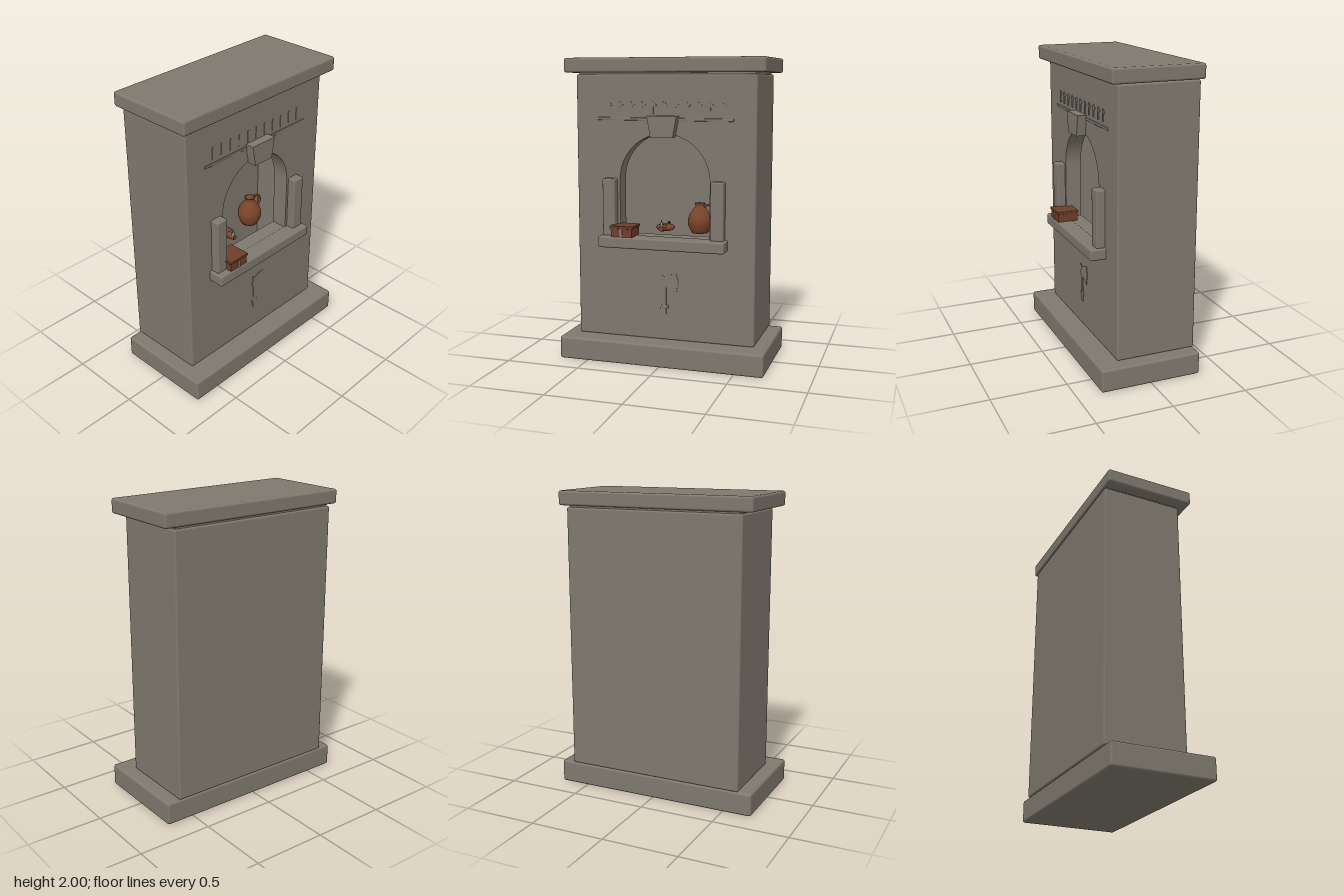
import * as THREE from 'three';
import { RoundedBoxGeometry } from 'three/addons/geometries/RoundedBoxGeometry.js';

const mat = (name, color, side = THREE.FrontSide) => {
  const m = new THREE.MeshStandardMaterial({ color, side });
  m.name = name;
  return m;
};

export function createModel() {
  const root = new THREE.Group();
  root.name = 'stoneHearthShrine';
  const stone = mat('stone', 0x7f796e);
  const clay = mat('clay', 0x7a4529, THREE.DoubleSide);
  const wood = mat('wood', 0x6f3f28);
  const metal = mat('metal', 0x8c8982);

  const add = (name, geo, material, parent = root) => {
    const m = new THREE.Mesh(geo, material);
    m.name = name;
    parent.add(m);
    return m;
  };
  // Box given by its limits, with softly rounded edges when r > 0
  const block = (name, x0, x1, y0, y1, z0, z1, r = 0.012, material = stone, parent = root) => {
    const w = x1 - x0, h = y1 - y0, d = z1 - z0;
    const g = r ? new RoundedBoxGeometry(w, h, d, 2, r) : new THREE.BoxGeometry(w, h, d);
    const m = add(name, g, material, parent);
    m.position.set((x0 + x1) / 2, (y0 + y1) / 2, (z0 + z1) / 2);
    return m;
  };
  const polygon = pts => new THREE.Shape(pts.map(p => new THREE.Vector2(...p)));
  // Flat outline pushed out from z0
  const plate = (name, shape, z0, depth, material = stone, parent = root) => {
    const g = new THREE.ExtrudeGeometry(shape, { depth, bevelEnabled: false, curveSegments: 32 });
    const m = add(name, g, material, parent);
    m.position.z = z0;
    return m;
  };

  // Plinth and cap
  block('plinth', -0.695, 0.695, 0, 0.15, -0.34, 0.34, 0.015);
  block('cap', -0.668, 0.668, 1.905, 2, -0.34, 0.262, 0.015);
  block('capJoint', -0.59, 0.59, 1.88, 1.92, -0.325, 0.185, 0);

  // Hollow body
  const body = new THREE.Group();
  body.name = 'body';
  root.add(body);
  for (const s of [-1, 1]) {
    const a = s * 0.605, b = s * 0.495;
    block('sideWall', Math.min(a, b), Math.max(a, b), 0.15, 1.895, -0.34, 0.2, 0.012, stone, body);
  }
  block('bottomWall', -0.605, 0.605, 0.15, 0.26, -0.34, 0.2, 0.012, stone, body);
  block('topWall', -0.605, 0.605, 1.785, 1.895, -0.34, 0.2, 0.012, stone, body);
  block('backWall', -0.605, 0.605, 0.15, 1.895, -0.34, -0.23, 0.012, stone, body);

  // Front wall with the arched opening
  const front = polygon([[-0.593, 0.162], [0.593, 0.162], [0.593, 1.883], [-0.593, 1.883]]);
  const arch = new THREE.Path();
  arch.moveTo(-0.305, 0.84);
  arch.lineTo(-0.305, 1.21);
  arch.absarc(0, 1.21, 0.305, Math.PI, 0, true);
  arch.lineTo(0.305, 0.84);
  arch.closePath();
  front.holes.push(arch);
  plate('frontWall', front, 0.09, 0.11, stone, body);

  // Shelf, posts and keystone
  block('shelf', -0.425, 0.425, 0.77, 0.845, 0.19, 0.305);
  for (const x of [-0.365, 0.365]) block('post', x - 0.043, x + 0.043, 0.84, 1.22, 0.19, 0.258, 0.01);
  plate('keystone', polygon([[-0.075, 1.495], [0.075, 1.495], [0.1, 1.632], [-0.1, 1.632]]), 0.195, 0.065);

  // Carved band with a repeated notch ornament
  block('carvedBand', -0.457, 0.457, 1.599, 1.617, 0.196, 0.205, 0.003);
  const notch = polygon([[-0.013, 1.64], [0.002, 1.64], [0.002, 1.685], [0.026, 1.698],
    [-0.002, 1.72], [-0.013, 1.72]]);
  for (let i = 0; i < 11; i++) plate('carvedNotch', notch, 0.197, 0.007).position.x = -0.378 + i * 0.076;

  // Carved axe
  plate('axeHead', polygon([[-0.026, 0.53], [-0.018, 0.558], [-0.022, 0.592], [0, 0.577], [0.04, 0.593],
    [0.083, 0.6], [0.097, 0.545], [0.083, 0.473], [0.018, 0.507], [-0.015, 0.495]]), 0.197, 0.007);
  block('axeHandle', -0.015, 0.013, 0.325, 0.53, 0.197, 0.204, 0);
  block('axeGrip', -0.03, 0.028, 0.365, 0.388, 0.197, 0.204, 0.003);

  // Small chest on the shelf
  const chest = new THREE.Group();
  chest.name = 'chest';
  root.add(chest);
  block('chestBox', -0.335, -0.19, 0.845, 0.903, 0.16, 0.3, 0, wood, chest);
  block('chestLid', -0.342, -0.184, 0.9, 0.917, 0.155, 0.306, 0.003, wood, chest);
  block('chestClasp', -0.27, -0.256, 0.846, 0.9, 0.299, 0.307, 0, metal, chest);

  // Oil lamp: flat bowl, spout with flame, ring handle
  const lamp = new THREE.Group();
  lamp.name = 'oilLamp';
  lamp.position.set(-0.065, 0.845, -0.03);
  root.add(lamp);
  const bowl = [[0, 0], [0.035, 0], [0.058, 0.012], [0.066, 0.024], [0.055, 0.038], [0.03, 0.045], [0, 0.042]];
  add('lampBowl', new THREE.LatheGeometry(bowl.map(p => new THREE.Vector2(...p)), 20), clay, lamp);
  const spout = add('lampSpout', new THREE.CylinderGeometry(0.016, 0.025, 0.06, 12), clay, lamp);
  spout.rotation.x = Math.PI / 2;
  spout.position.set(0, 0.026, 0.075);
  const flame = add('lampWick', new THREE.ConeGeometry(0.013, 0.055, 10), metal, lamp);
  flame.position.set(0, 0.065, 0.09);
  const ring = add('lampHandle', new THREE.TorusGeometry(0.018, 0.006, 8, 16), clay, lamp);
  ring.rotation.y = Math.PI / 2;
  ring.position.set(0, 0.03, -0.075);

  // Jug with a looped handle
  const jug = new THREE.Group();
  jug.name = 'jug';
  jug.position.set(0.18, 0.845, -0.02);
  root.add(jug);
  const profile = [[0, 0], [0.055, 0], [0.068, 0.025], [0.08, 0.06], [0.081, 0.09], [0.07, 0.125],
    [0.046, 0.16], [0.031, 0.178], [0.03, 0.188], [0.037, 0.2], [0.03, 0.2], [0.024, 0.18], [0, 0.165]];
  add('jugBody', new THREE.LatheGeometry(profile.map(p => new THREE.Vector2(...p)), 24), clay, jug);
  const loop = new THREE.CatmullRomCurve3([[0.03, 0.178], [0.055, 0.189], [0.086, 0.182], [0.104, 0.15],
    [0.094, 0.115], [0.066, 0.1]].map(([x, y]) => new THREE.Vector3(x, y, 0)));
  add('jugHandle', new THREE.TubeGeometry(loop, 20, 0.008, 8), clay, jug);

  return root;
}
